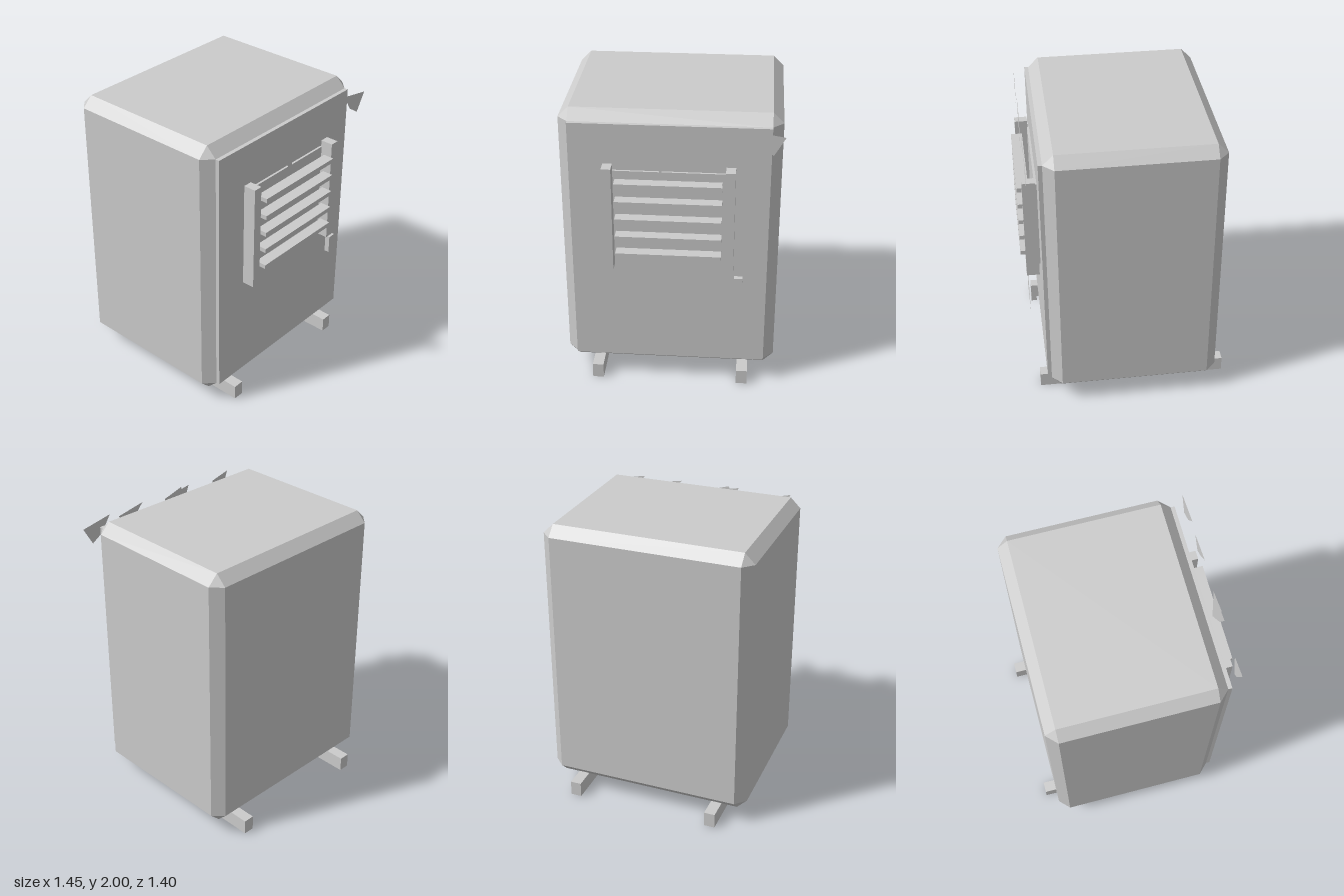
import * as THREE from 'three';
import { ConvexGeometry } from 'three/addons/geometries/ConvexGeometry.js';

const material = new THREE.MeshStandardMaterial({ color: 0xcccccc, flatShading: true });
const sheetMaterial = new THREE.MeshStandardMaterial({
  color: 0xcccccc, flatShading: true, side: THREE.DoubleSide,
});

// Box given by its extents along each axis
function box(name, [x0, x1], [y0, y1], [z0, z1]) {
  const mesh = new THREE.Mesh(new THREE.BoxGeometry(x1 - x0, y1 - y0, z1 - z0), material);
  mesh.position.set((x0 + x1) / 2, (y0 + y1) / 2, (z0 + z1) / 2);
  mesh.name = name;
  return mesh;
}

// Box with every edge and corner cut off
function chamferedBox(w, h, d, c) {
  const points = [];
  for (const sx of [-1, 1]) for (const sy of [-1, 1]) for (const sz of [-1, 1]) {
    const [x, y, z] = [w / 2, h / 2, d / 2];
    points.push(
      new THREE.Vector3(sx * x, sy * (y - c), sz * (z - c)),
      new THREE.Vector3(sx * (x - c), sy * y, sz * (z - c)),
      new THREE.Vector3(sx * (x - c), sy * (y - c), sz * z),
    );
  }
  return new ConvexGeometry(points);
}

// Flat outline standing just in front of the door
function sheet(name, outline, z) {
  const shape = new THREE.Shape(outline.map(([x, y]) => new THREE.Vector2(x, y)));
  const mesh = new THREE.Mesh(new THREE.ShapeGeometry(shape), sheetMaterial);
  mesh.position.z = z;
  mesh.name = name;
  return mesh;
}

export function createModel() {
  const model = new THREE.Group();
  model.name = 'cabinet';

  // Cabinet body
  const body = new THREE.Mesh(chamferedBox(1.44, 1.9, 1.16, 0.07), material);
  body.position.set(-0.01, 1.05, -0.04);
  body.name = 'body';
  model.add(body);

  // Door panel
  model.add(box('door', [-0.66, 0.64], [0.175, 1.93], [0.53, 0.567]));

  // Skids under the body
  for (const x of [-0.512, 0.495]) {
    model.add(box('skid', [x - 0.038, x + 0.038], [0, 0.105], [-0.7, 0.615]));
  }

  // Vent: back plate, side rails and slats
  const vent = new THREE.Group();
  vent.name = 'vent';
  vent.add(box('ventPlate', [-0.375, 0.36], [0.967, 1.613], [0.56, 0.582]));
  for (const x of [-0.405, 0.387]) {
    vent.add(box('ventRail', [x - 0.031, x + 0.031], [0.92, 1.66], [0.578, 0.665]));
  }
  for (let i = 0; i < 5; i++) {
    const y = 1.053 + i * 0.1265;
    vent.add(box('ventSlat', [-0.355, 0.336], [y - 0.015, y + 0.015], [0.62, 0.697]));
  }
  model.add(vent);

  // Door latch
  model.add(box('latch', [0.424, 0.48], [0.75, 0.877], [0.61, 0.645]));

  // Triangular warning plate
  model.add(sheet('warningPlate', [[-0.19, 0.375], [0.173, 0.375], [-0.008, 0.685]], 0.645));

  // Jagged shards hanging along the top of the door
  const shards = [
    [[-0.61, 1.95], [-0.55, 1.775], [-0.51, 1.735], [-0.46, 1.912]],
    [[-0.227, 1.95], [-0.165, 1.79], [-0.055, 1.63], [0, 1.91], [-0.155, 1.955], [-0.16, 1.938]],
    [[0.205, 1.95], [0.275, 1.87], [0.345, 1.82], [0.42, 1.91]],
    [[0.495, 1.95], [0.565, 1.84], [0.65, 1.785], [0.722, 1.91]],
  ];
  for (const outline of shards) model.add(sheet('shard', outline, 0.645));

  return model;
}
